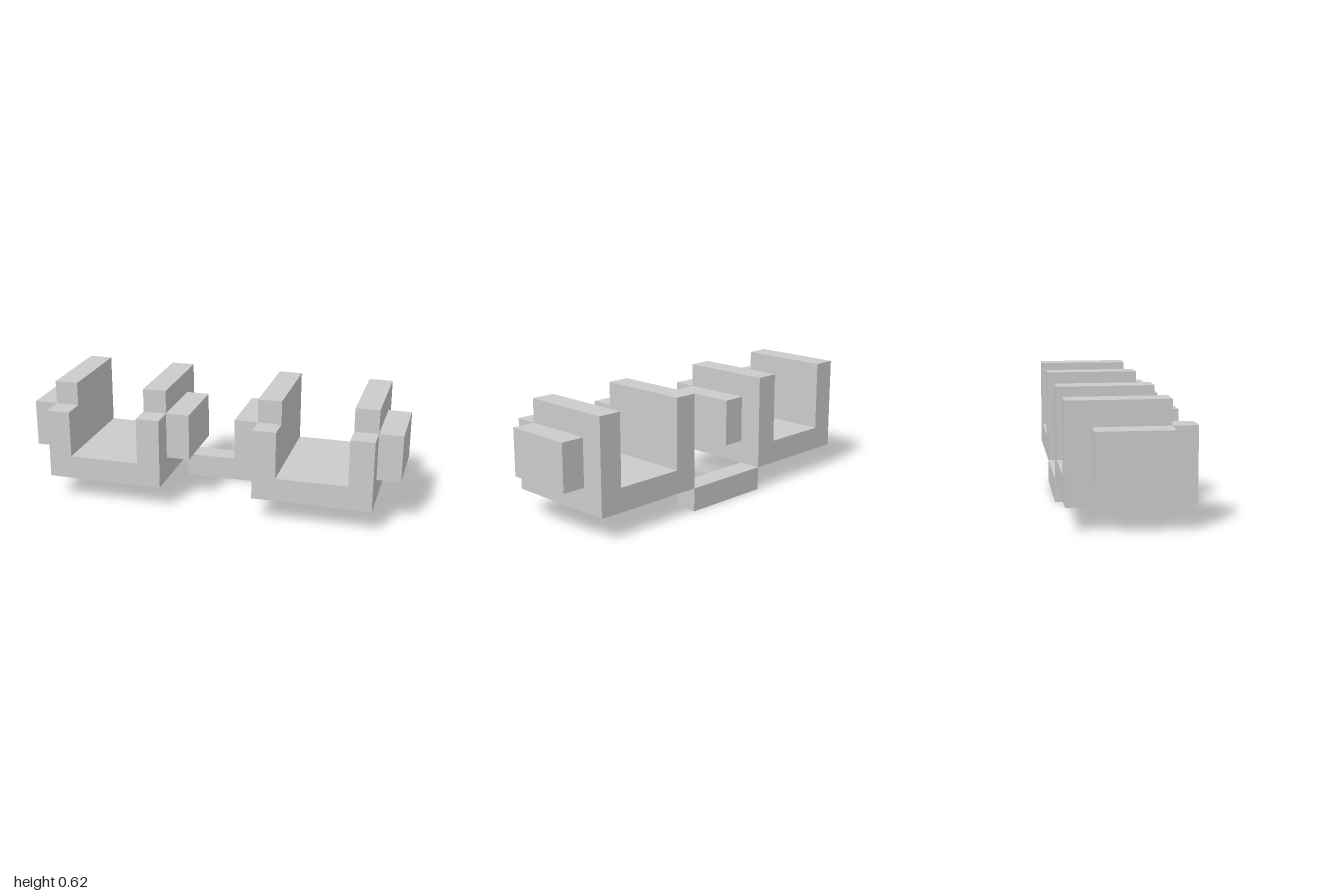
import * as THREE from 'three';

const U = 0.125; // one block unit
const material = new THREE.MeshStandardMaterial({ color: 0xcccccc, flatShading: true });

// Box given by its min and max corners, in block units
function block(name, [x0, y0, z0], [x1, y1, z1]) {
  const geometry = new THREE.BoxGeometry((x1 - x0) * U, (y1 - y0) * U, (z1 - z0) * U);
  const mesh = new THREE.Mesh(geometry, material);
  mesh.position.set((x0 + x1) * U / 2, (y0 + y1) * U / 2, (z0 + z1) * U / 2);
  mesh.name = name;
  return mesh;
}

// U-shaped channel with raised wall tops and a pad on each outer side
function createCradle(name) {
  const cradle = new THREE.Group();
  cradle.name = name;

  const profile = [[-2.5, 1], [2.5, 1], [2.5, 4], [1.5, 4], [1.5, 2], [-1.5, 2], [-1.5, 4], [-2.5, 4]];
  const shape = new THREE.Shape(profile.map(([x, y]) => new THREE.Vector2(x * U, y * U)));
  const geometry = new THREE.ExtrudeGeometry(shape, { depth: 5 * U, bevelEnabled: false });
  geometry.translate(0, 0, -2.5 * U);
  const channel = new THREE.Mesh(geometry, material);
  channel.name = 'channel';
  cradle.add(channel);

  for (const [side, label] of [[1, 'left'], [-1, 'right']]) {
    const span = (a, b) => (side > 0 ? [a, b] : [-b, -a]);
    const [w0, w1] = span(1.5, 2.5);
    const [p0, p1] = span(2.5, 3.5);
    cradle.add(block(label + 'WallTop', [w0, 4, -2.5], [w1, 5, 1.5]));
    cradle.add(block(label + 'SidePad', [p0, 2, -1.5], [p1, 4, 1.5]));
  }
  return cradle;
}

export function createModel() {
  const model = new THREE.Group();
  model.name = 'doubleCradle';

  for (const [side, name] of [[1, 'leftCradle'], [-1, 'rightCradle']]) {
    const cradle = createCradle(name);
    cradle.position.x = side * 4.5 * U;
    model.add(cradle);
  }

  // Low bar joining the two cradles at the back
  model.add(block('connectingBar', [-2, 0, -2.5], [2, 1, -1.5]));
  return model;
}
